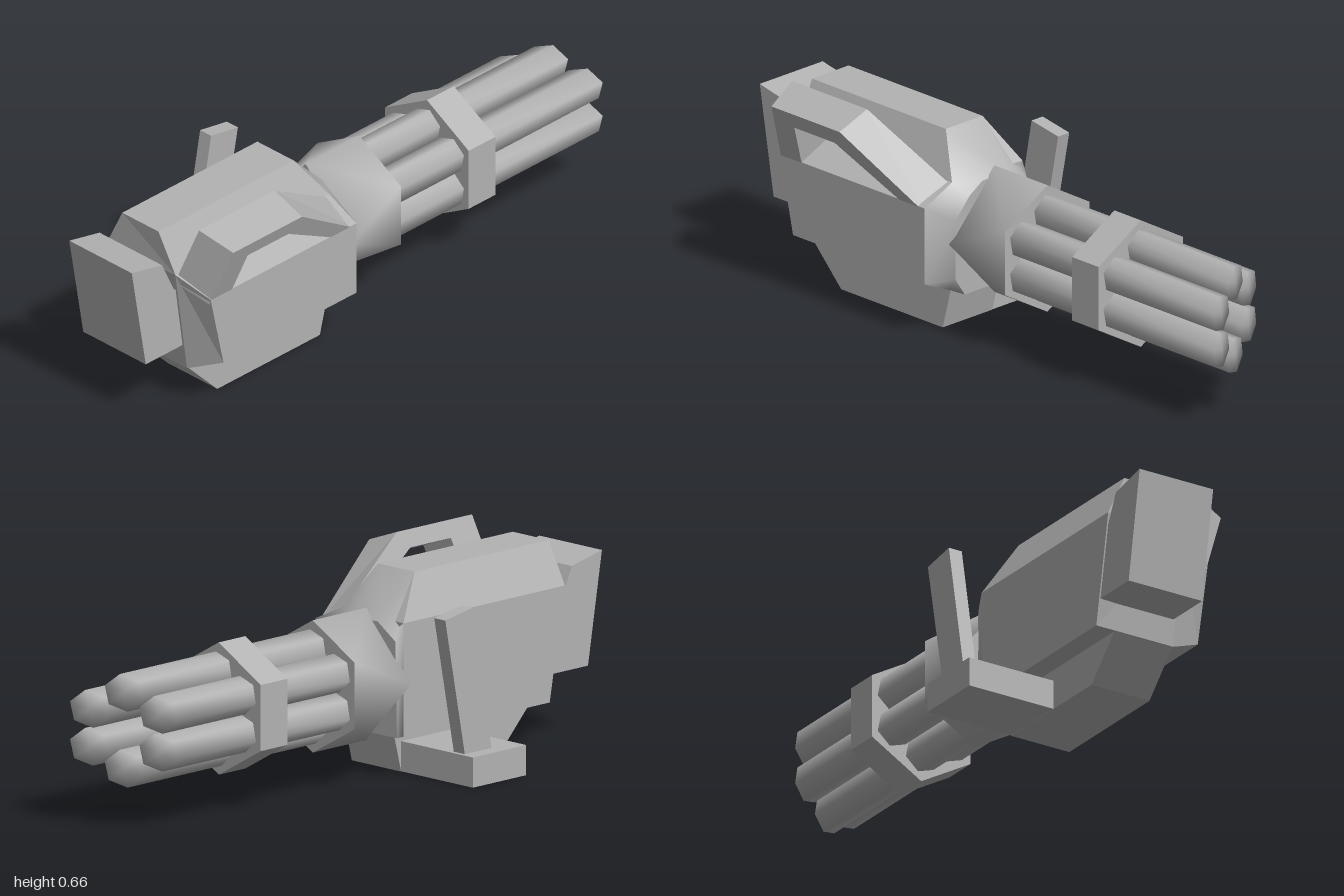
import * as THREE from 'three';
import { mergeGeometries, mergeVertices } from 'three/addons/utils/BufferGeometryUtils.js';

const AXIS_Y = 0.306, AXIS_Z = 0.027;

// Skin between cross-sections ordered along +x; each ring runs clockwise seen from +x.
// The end caps are always flat; the skin can be smooth.
function loft(rings, smooth = false) {
  const build = (list, soft) => {
    const g = new THREE.BufferGeometry();
    g.setAttribute('position', new THREE.Float32BufferAttribute(list, 3));
    const shaded = soft ? mergeVertices(g) : g;
    shaded.computeVertexNormals();
    return soft ? shaded.toNonIndexed() : shaded;
  };
  const skin = [], caps = [];
  const n = rings[0].length;
  for (let r = 0; r < rings.length - 1; r++) {
    const a = rings[r], b = rings[r + 1];
    for (let i = 0; i < n; i++) {
      const j = (i + 1) % n;
      skin.push(...a[i], ...b[i], ...b[j], ...a[i], ...b[j], ...a[j]);
    }
  }
  const first = rings[0], last = rings[rings.length - 1];
  for (let i = 1; i < n - 1; i++) {
    caps.push(...first[0], ...first[i], ...first[i + 1]);
    caps.push(...last[0], ...last[i + 1], ...last[i]);
  }
  return mergeGeometries([build(skin, smooth), build(caps, false)]);
}

// Side profile in x,y extruded from z0 to z1.
function slab(points, z0, z1) {
  const shape = new THREE.Shape(points.map(([x, y]) => new THREE.Vector2(x, y)));
  return new THREE.ExtrudeGeometry(shape, { depth: z1 - z0, bevelEnabled: false }).translate(0, 0, z0);
}

// Six-sided barrel along x with a slanted muzzle and soft shading
function barrel(cy, cz) {
  const g = new THREE.CylinderGeometry(0.059, 0.059, 0.8, 6, 1, false, Math.PI / 2 + 0.2)
    .rotateZ(-Math.PI / 2).translate(0.48, cy, cz);
  const p = g.attributes.position;
  for (let k = 0; k < p.count; k++) {
    if (p.getX(k) > 0.5) p.setX(k, 0.912 + 0.45 * (p.getZ(k) + AXIS_Z));
  }
  g.deleteAttribute('normal');
  g.deleteAttribute('uv');
  const soft = mergeVertices(g);
  soft.computeVertexNormals();
  return soft;
}

export function createModel() {
  const model = new THREE.Group();
  const metal = new THREE.MeshStandardMaterial({ color: 0xb2b2b2 });
  metal.name = 'grey metal';
  const add = (name, geometry, parent = model) => {
    const mesh = new THREE.Mesh(geometry, metal);
    mesh.name = name;
    parent.add(mesh);
    return mesh;
  };

  // Housing: faceted section with a slanted rear, then a softly shaded taper
  const section = [[0.167, 0.483], [0.105, 0.615], [-0.05, 0.615], [-0.112, 0.483],
    [-0.112, 0.13], [0.167, 0.13], [0.283, 0.183], [0.283, 0.43]];
  const rearX = [-0.82, -0.83, -0.83, -0.835, -0.77, -0.77, -0.73, -0.785];
  const shoulderX = [-0.16, -0.25, -0.25, -0.14, -0.14, -0.17, -0.16, -0.16];
  const nose = [[0.14, 0.445], [0.085, 0.48], [-0.03, 0.48], [-0.105, 0.43],
    [-0.112, 0.13], [0.16, 0.13], [0.2, 0.19], [0.2, 0.38]];
  const shoulder = section.map(([z, y], i) => [shoulderX[i], y, z]);
  add('housing', loft([section.map(([z, y], i) => [rearX[i], y, z]), shoulder]));
  add('housingTaper', loft([shoulder, nose.map(([z, y]) => [-0.112, y, z])], true));

  // Rear plate, lower box, side bracket and leaning post
  add('rearPlate', slab([[-1, 0.565], [-0.94, 0.215], [-0.74, 0.215], [-0.78, 0.4], [-0.82, 0.43], [-0.87, 0.537]], -0.107, 0.16));
  add('lowerBox', slab([[-0.77, 0.135], [-0.64, 0], [-0.2, 0], [-0.165, 0.135]], -0.043, 0.167));
  add('sideBracket', slab([[-0.43, 0.001], [-0.2, 0.001], [-0.2, 0.095], [-0.43, 0.095]], -0.348, -0.04));
  add('gripPost', slab([[-0.33, 0.09], [-0.215, 0.09], [-0.13, 0.525], [-0.245, 0.545]], -0.3, -0.253));

  // Carrying handle: open frame leaning outwards, narrower on its outer face
  const frame = slab([[-0.815, -0.02], [-0.785, 0.195], [-0.46, 0.195], [-0.13, -0.02],
    [-0.24, -0.02], [-0.5, 0.14], [-0.675, 0.14], [-0.695, -0.02]], 0, 0.124);
  const p = frame.attributes.position;
  for (let i = 0; i < p.count; i++) {
    if (p.getZ(i) < 0.1) continue;
    if (p.getX(i) < -0.74) p.setX(i, p.getX(i) + 0.03);
    if (p.getX(i) > -0.15) p.setX(i, -0.16);
  }
  frame.computeVertexNormals();
  const handle = add('carryHandle', frame);
  handle.rotation.x = 0.348;
  handle.position.set(0, 0.472, 0.167);

  const barrelGroup = new THREE.Group();
  barrelGroup.name = 'barrelAssembly';
  barrelGroup.position.set(0, AXIS_Y, AXIS_Z);
  model.add(barrelGroup);

  // Collar: hexagonal in front, four-cornered behind, joined by triangles
  const hex = Array.from({ length: 6 }, (_, i) => {
    const a = Math.PI / 2 + i * Math.PI / 3;
    return [Math.cos(a) * 0.206, Math.sin(a) * 0.206];
  });
  const diamond = [[0, 0.206], [-0.191, 0], [0, -0.206], [0.191, 0]];
  const rearOrder = [0, 0, 1, 1, 2, 2, 2, 3, 3, 0];
  const frontOrder = [0, 1, 1, 2, 2, 3, 4, 4, 5, 5];
  add('collar', loft([
    rearOrder.map((k) => [-0.12, diamond[k][1], diamond[k][0]]),
    frontOrder.map((k) => [0.11, hex[k][1], hex[k][0]]),
  ], true), barrelGroup);

  // Hexagonal clamp around the barrels
  add('barrelClamp', loft([0.4, 0.515].map((x) => hex.map(([z, y]) => [x, y, z]))), barrelGroup);

  // Six barrels
  for (let i = 0; i < 6; i++) {
    const a = Math.PI / 6 + i * Math.PI / 3;
    add('barrel', barrel(Math.sin(a) * 0.118, Math.cos(a) * 0.118), barrelGroup);
  }
  return model;
}
